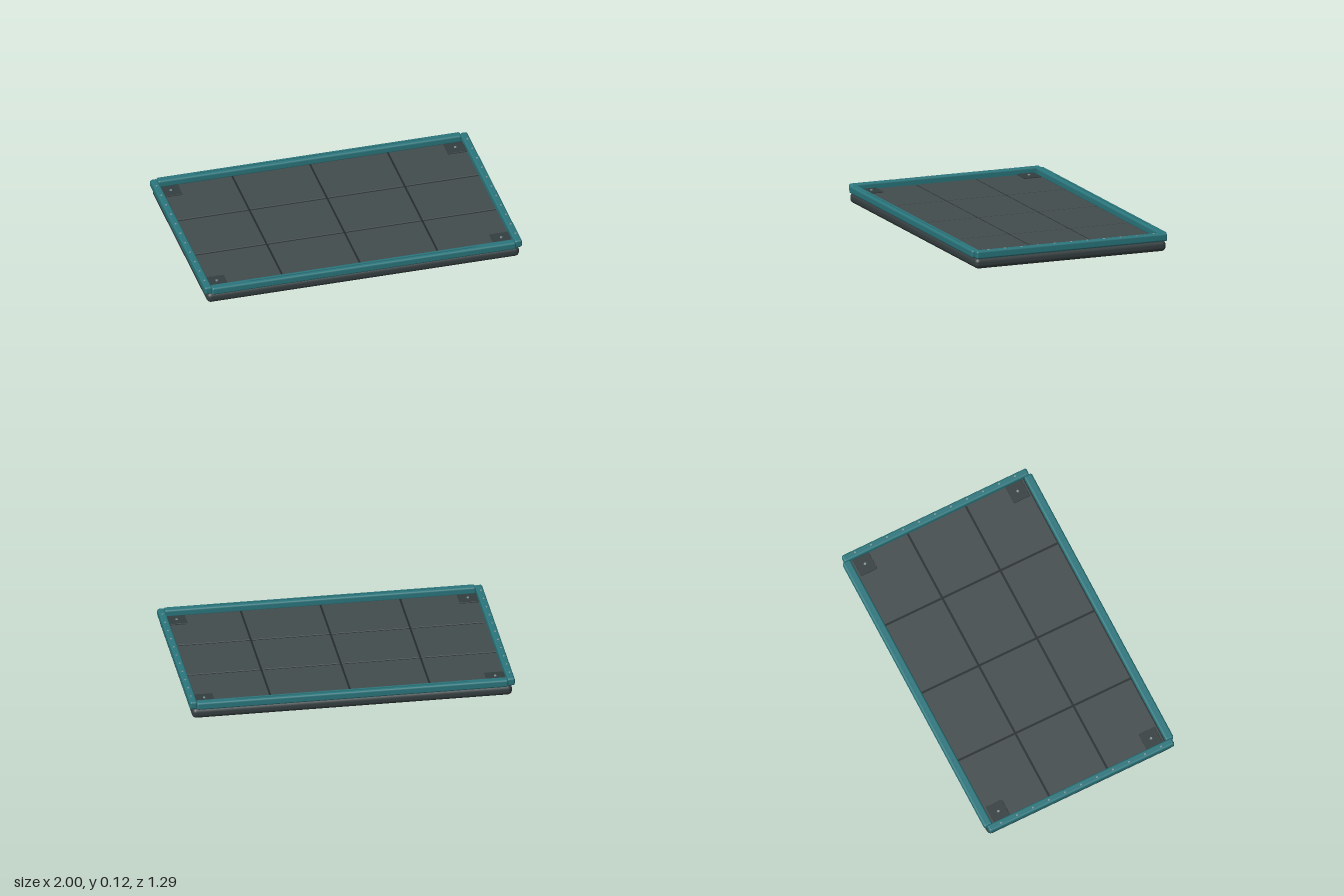
import * as THREE from 'three';
import { RoundedBoxGeometry } from 'three/addons/geometries/RoundedBoxGeometry.js';

const paint = (color) => new THREE.MeshStandardMaterial({ color });

export function createModel() {
  const model = new THREE.Group();
  model.name = 'framedPlatform';
  const slabMat = paint(0x363f41);
  const grooveMat = paint(0x242b2d);
  const tileMat = paint(0x434c4e);
  const plateMat = paint(0x343d3f);
  const railMat = paint(0x2a767c);
  const studMat = paint(0x7f9496);

  const add = (name, geometry, material, x, y, z) => {
    const mesh = new THREE.Mesh(geometry, material);
    mesh.name = name;
    mesh.position.set(x, y, z);
    model.add(mesh);
    return mesh;
  };

  // Rounded base slab and the dark bed seen between the tiles
  add('baseSlab', new RoundedBoxGeometry(1.97, 0.066, 1.262, 5, 0.028), slabMat, 0, 0.033, 0);
  add('tileBed', new THREE.BoxGeometry(1.93, 0.012, 1.22), grooveMat, 0, 0.066, 0);

  // Four by three floor tiles
  const tile = new RoundedBoxGeometry(0.478, 0.016, 0.383, 1, 0.003);
  for (let i = 0; i < 4; i++) {
    for (let j = 0; j < 3; j++) {
      add('floorTile', tile, tileMat, (i - 1.5) * 0.49, 0.07, (j - 1) * 0.395);
    }
  }

  const longRail = new RoundedBoxGeometry(1.915, 0.048, 0.053, 3, 0.012);
  const sideRail = new RoundedBoxGeometry(0.046, 0.05, 1.258, 3, 0.012);
  const strip = new THREE.BoxGeometry(1.43, 0.006, 0.006);
  const rivet = new THREE.CylinderGeometry(0.006, 0.008, 0.006, 10);
  const plate = new RoundedBoxGeometry(0.118, 0.012, 0.11, 1, 0.003);
  const bolt = new THREE.CylinderGeometry(0.008, 0.008, 0.006, 12);

  for (const s of [-1, 1]) {
    // Long rails with a thin dark strip along the top
    add(s > 0 ? 'frontRail' : 'backRail', longRail, railMat, 0, 0.09, s * 0.618);
    add('railStrip', strip, railMat, 0, 0.115, s * 0.62);

    // Side rails with a row of rivets
    add(s > 0 ? 'leftRail' : 'rightRail', sideRail, railMat, s * 0.977, 0.091, 0);
    for (let k = -5; k <= 5; k++) {
      add('railRivet', rivet, studMat, s * 0.98, 0.116, k * 0.109);
    }

    // Bolted corner plates
    for (const t of [-1, 1]) {
      add('cornerPlate', plate, plateMat, s * 0.896, 0.079, t * 0.52);
      add('cornerBolt', bolt, studMat, s * 0.896, 0.087, t * 0.52);
    }
  }
  return model;
}
